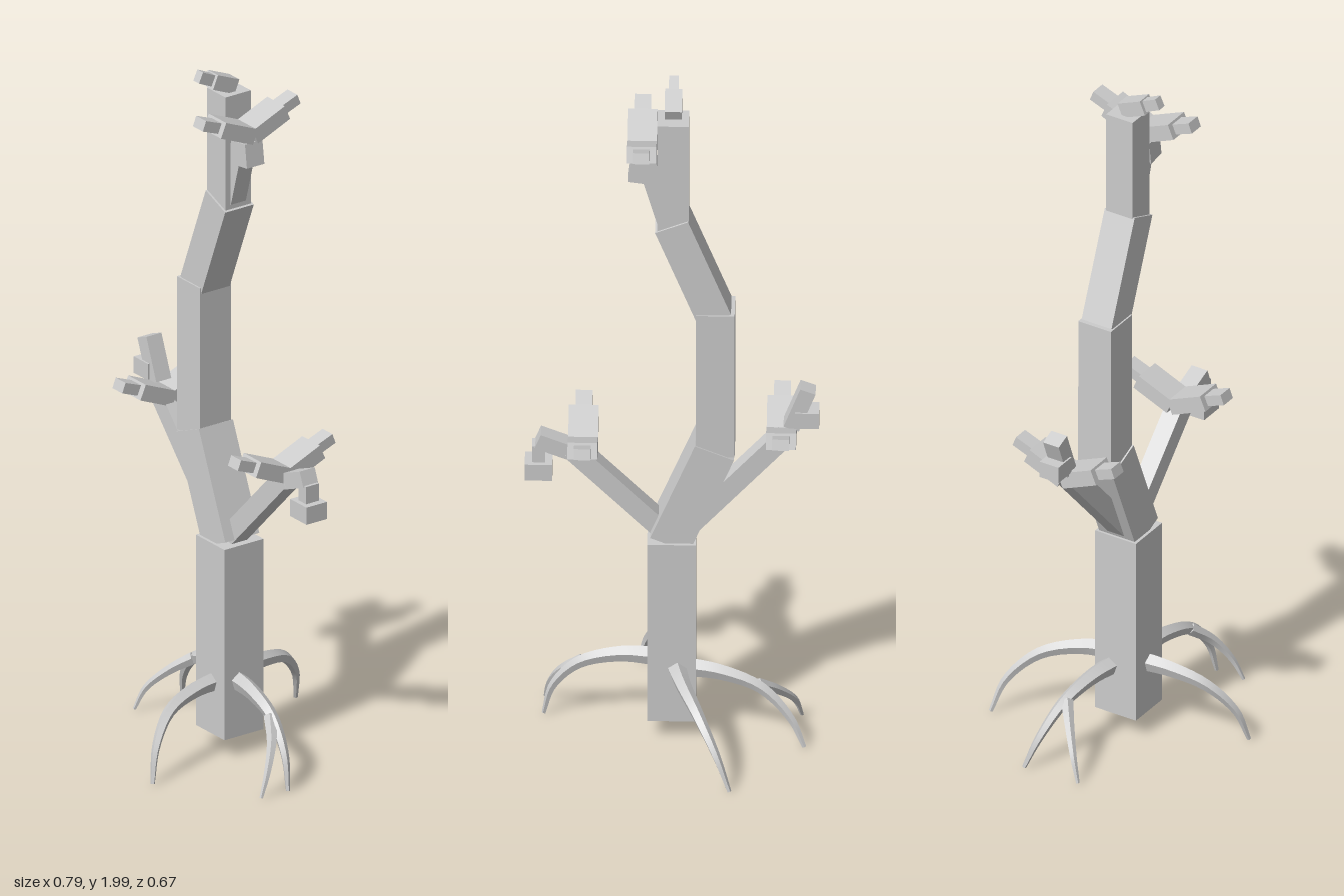
import * as THREE from 'three';
import { toCreasedNormals } from 'three/addons/utils/BufferGeometryUtils.js';

const material = new THREE.MeshStandardMaterial({ color: 0xcccccc, flatShading: false });
const V = (x, y, z) => new THREE.Vector3(x, y, z);

// Box running from a to b; side is the horizontal width, thick the other one
function beam(name, a, b, side, thick) {
  const from = V(...a), to = V(...b);
  const mesh = new THREE.Mesh(new THREE.BoxGeometry(side, thick, from.distanceTo(to)), material);
  mesh.position.addVectors(from, to).multiplyScalar(0.5);
  mesh.lookAt(to);
  mesh.name = name;
  return mesh;
}

// Tapering five-sided root swept along a curve, with a ridge on top
function root(name, points, r0, r1) {
  const curve = new THREE.CatmullRomCurve3(points.map((p) => V(...p)));
  const rings = 18, sides = 5, pos = [], index = [];
  const run = V().subVectors(curve.getPoint(1), curve.getPoint(0)).setY(0).normalize();
  const across = V(run.z, 0, -run.x);
  for (let i = 0; i <= rings; i++) {
    const t = i / rings, c = curve.getPoint(t), tan = curve.getTangent(t);
    const side = across.clone().addScaledVector(tan, -across.dot(tan)).normalize();
    const up = V().crossVectors(tan, side).normalize();
    const r = r0 + (r1 - r0) * t;
    for (let j = 0; j < sides; j++) {
      const a = (j / sides) * Math.PI * 2;
      const p = c.clone().addScaledVector(up, Math.cos(a) * r).addScaledVector(side, Math.sin(a) * r);
      pos.push(p.x, p.y, p.z);
    }
  }
  for (let i = 0; i < rings; i++) {
    for (let j = 0; j < sides; j++) {
      const a = i * sides + j, b = i * sides + (j + 1) % sides;
      index.push(a, a + sides, b, b, a + sides, b + sides);
    }
  }
  // end caps
  const last = rings * sides;
  for (let j = 1; j < sides - 1; j++) {
    index.push(0, j, j + 1, last, last + j + 1, last + j);
  }
  const geo = new THREE.BufferGeometry();
  geo.setAttribute('position', new THREE.Float32BufferAttribute(pos, 3));
  geo.setIndex(index);
  const rootMaterial = material.clone();
  rootMaterial.side = THREE.DoubleSide;
  const mesh = new THREE.Mesh(toCreasedNormals(geo, 0.7), rootMaterial);
  mesh.name = name;
  return mesh;
}

// Two stepped twigs rising to the front and back in a V
function twigPair(name, x, y, z) {
  const g = new THREE.Group();
  g.name = name;
  for (const s of [1, -1]) {
    g.add(beam('twigArm', [0, 0.023, 0], [0, 0.068, s * 0.106], 0.08, 0.045));
    g.add(beam('twigTip', [0, 0.066, s * 0.1], [0, 0.088, s * 0.157], 0.045, 0.03));
  }
  g.position.set(x, y, z);
  return g;
}

export function createModel() {
  const model = new THREE.Group();
  model.name = 'bareTree';
  const z = 0.004;

  // Zigzag trunk, each length a little thinner: from, to, width
  const trunk = new THREE.Group();
  trunk.name = 'trunk';
  [
    [[0, 0.06], [0, 0.615], 0.13],
    [[0.005, 0.61], [-0.115, 0.9], 0.113],
    [[-0.117, 0.885], [-0.117, 1.33], 0.104],
    [[-0.115, 1.315], [0, 1.605], 0.095],
    [[-0.004, 1.59], [-0.004, 1.92], 0.084],
  ].forEach(([a, b, w], i) => trunk.add(beam('trunkSegment' + (i + 1), [...a, z], [...b, z], w, w)));
  model.add(trunk);

  // Branches
  model.add(beam('rightBranch', [-0.03, 0.63, z], [-0.305, 0.935, z], 0.052, 0.055));
  model.add(beam('leftBranch', [0.02, 0.63, z], [0.27, 0.885, z], 0.052, 0.055));
  model.add(beam('upperBranch', [0.015, 1.61, z], [0.075, 1.82, z], 0.05, 0.05));

  // Twigs at the branch ends
  model.add(twigPair('rightTwigs', -0.294, 0.905, 0));
  model.add(twigPair('leftTwigs', 0.239, 0.865, 0.006));
  model.add(twigPair('upperTwigs', 0.08, 1.8, 0.006));

  // Side shoots with buds
  model.add(beam('rightShoot', [-0.32, 0.96, z], [-0.365, 1.077, z], 0.05, 0.044));
  model.add(beam('rightBud', [-0.395, 0.988, z], [-0.33, 0.988, z], 0.06, 0.048));
  model.add(beam('leftShoot', [0.25, 0.868, z], [0.36, 0.912, z], 0.05, 0.045));
  model.add(beam('leftBudNeck', [0.358, 0.84, z], [0.358, 0.895, z], 0.035, 0.042));
  model.add(beam('leftBud', [0.321, 0.82, z], [0.395, 0.82, z], 0.068, 0.05));
  model.add(beam('upperBud', [0.083, 1.8, z], [0.092, 1.733, z], 0.058, 0.052));

  // Shoot on the crown
  model.add(beam('crownShoot', [-0.004, 1.932, -0.006], [-0.004, 1.962, 0.065], 0.046, 0.042));
  model.add(beam('crownTip', [-0.004, 1.96, 0.058], [-0.004, 1.982, 0.106], 0.026, 0.032));

  // Arched roots
  const roots = new THREE.Group();
  roots.name = 'roots';
  roots.add(
    root('frontRoot', [[0, 0.21, 0.03], [0.012, 0.205, 0.13], [0.035, 0.175, 0.23], [0.07, 0.1, 0.3], [0.093, 0.008, 0.328]], 0.028, 0.006),
    root('backRoot', [[-0.01, 0.22, -0.03], [-0.03, 0.215, -0.12], [-0.075, 0.18, -0.23], [-0.125, 0.1, -0.305], [-0.16, 0.008, -0.332]], 0.028, 0.006),
    root('leftRoot', [[0.03, 0.22, 0.015], [0.14, 0.217, 0.03], [0.25, 0.18, 0.043], [0.32, 0.1, 0.055], [0.345, 0.008, 0.063]], 0.028, 0.006),
    root('leftRootFork', [[0.24, 0.185, 0.045], [0.295, 0.135, 0.08], [0.33, 0.07, 0.12], [0.343, 0.008, 0.15]], 0.018, 0.005),
    root('rightRoot', [[-0.03, 0.205, -0.01], [-0.13, 0.2, -0.03], [-0.24, 0.165, -0.052], [-0.32, 0.085, -0.078], [-0.357, 0.008, -0.1]], 0.028, 0.006),
    root('rightRootFork', [[-0.23, 0.17, -0.045], [-0.28, 0.13, -0.005], [-0.33, 0.07, 0.04], [-0.348, 0.008, 0.066]], 0.018, 0.005),
  );
  model.add(roots);
  return model;
}
